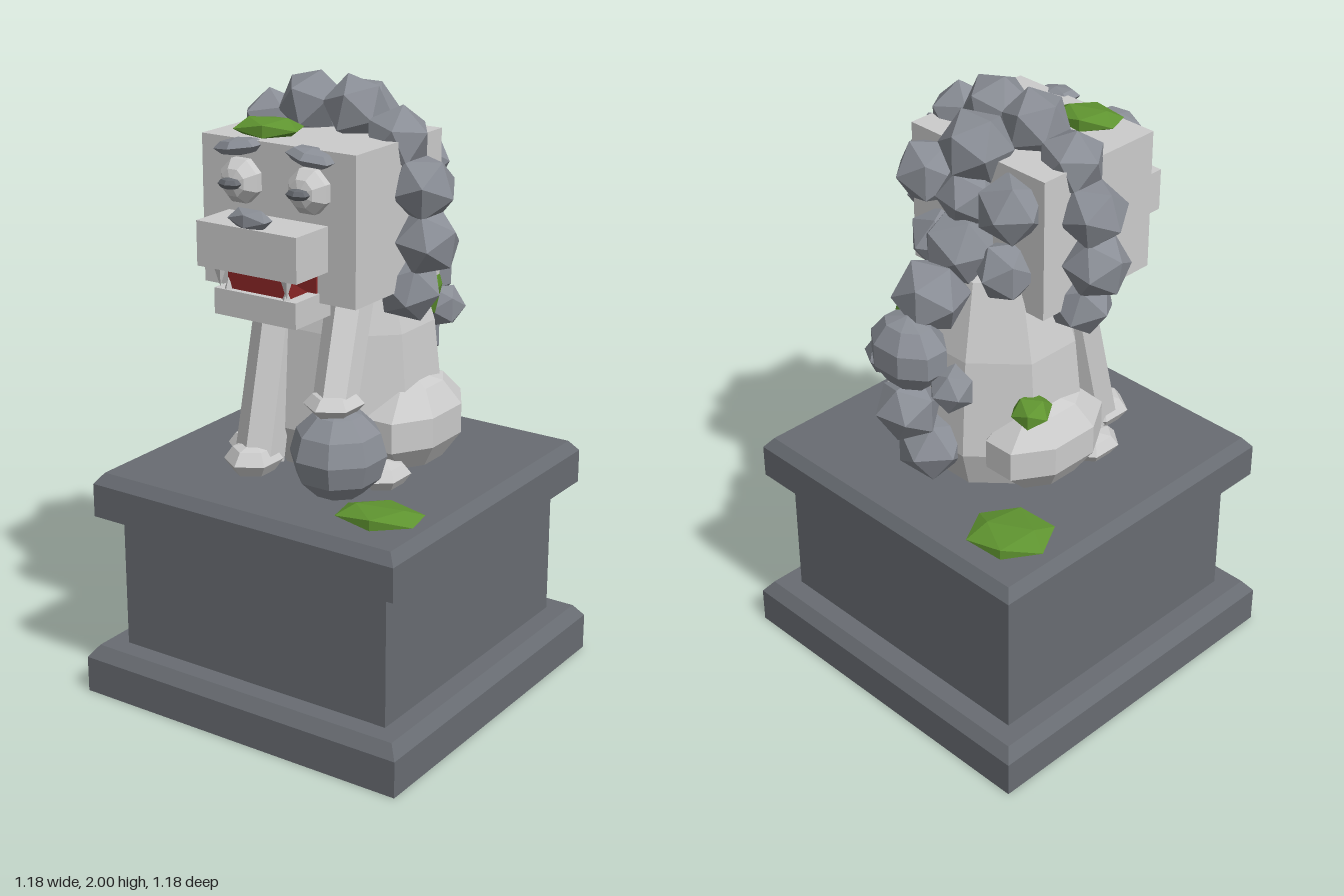
import * as THREE from 'three';

const mat = (color) => new THREE.MeshStandardMaterial({ color, flatShading: true });

export function createModel() {
  const model = new THREE.Group();
  const pale = mat(0xcccccc);
  const mid = mat(0x8a8e96);
  const dark = mat(0x686c72);
  const red = mat(0x8a2626);
  const green = mat(0x5f9430);

  const add = (name, geometry, material, x, y, z) => {
    const mesh = new THREE.Mesh(geometry, material);
    mesh.name = name;
    mesh.position.set(x, y, z);
    model.add(mesh);
    return mesh;
  };
  const box = (name, m, w, h, d, x, y, z) => add(name, new THREE.BoxGeometry(w, h, d), m, x, y, z);
  // faceted ellipsoid
  const lump = (name, m, x, y, z, rx, ry = rx, rz = rx, turn = 0) => {
    const mesh = add(name, new THREE.IcosahedronGeometry(1, 0), m, x, y, z);
    mesh.scale.set(rx, ry, rz);
    mesh.rotation.y = turn;
    return mesh;
  };
  // rounder ellipsoid built from rings
  const orb = (name, m, x, y, z, rx, ry, rz, sides = 8, rings = 5) => {
    const g = new THREE.SphereGeometry(1, sides, rings);
    g.rotateY(Math.PI / sides);
    const mesh = add(name, g, m, x, y, z);
    mesh.scale.set(rx, ry, rz);
    return mesh;
  };
  // six-sided limb between two points
  const limb = (name, m, a, b, r0, r1) => {
    const p = new THREE.Vector3(...a), q = new THREE.Vector3(...b);
    const dir = q.clone().sub(p), c = p.add(q).multiplyScalar(0.5);
    const mesh = add(name, new THREE.CylinderGeometry(r1, r0, dir.length(), 6), m, c.x, c.y, c.z);
    mesh.quaternion.setFromUnitVectors(new THREE.Vector3(0, 1, 0), dir.normalize());
  };
  // square slab with a chamfered top, from [half width, height] pairs
  const slab = (name, profile) => {
    const pts = profile.map(([r, y]) => new THREE.Vector2(r * Math.SQRT2, y));
    const g = new THREE.LatheGeometry(pts, 4);
    g.rotateY(Math.PI / 4);
    add(name, g, dark, 0, 0, 0);
  };

  // Pedestal
  slab('pedestalBase', [[0, 0], [0.59, 0], [0.59, 0.12], [0.56, 0.16], [0, 0.16]]);
  box('pedestalBody', dark, 0.99, 0.46, 0.99, 0, 0.385, 0);
  slab('pedestalCap', [[0, 0.61], [0.56, 0.61], [0.56, 0.72], [0.533, 0.755], [0, 0.755]]);

  // Body
  const bodyProfile = [[0, 0.77], [0.26, 0.77], [0.31, 0.9], [0.275, 1.22], [0.2, 1.46], [0, 1.47]];
  const bodyGeo = new THREE.LatheGeometry(bodyProfile.map(([r, y]) => new THREE.Vector2(r, y)), 8);
  bodyGeo.rotateY(Math.PI / 8);
  add('body', bodyGeo, pale, 0, 0, -0.055).scale.set(0.98, 1, 0.9);

  // Haunches and hind paws
  for (const s of [-1, 1]) {
    orb('haunch', pale, s * 0.225, 0.915, -0.065, 0.145, 0.155, 0.23);
    orb('hindPaw', pale, s * 0.25, 0.795, 0.13, 0.075, 0.045, 0.1, 6, 4);
  }

  // Front legs: right one standing, left one resting on a ball
  limb('rightFrontLeg', pale, [-0.14, 0.8, 0.25], [-0.145, 1.34, 0.12], 0.078, 0.072);
  orb('rightFrontPaw', pale, -0.14, 0.81, 0.28, 0.09, 0.055, 0.1, 6, 4);
  limb('leftFrontLeg', pale, [0.175, 1.06, 0.29], [0.13, 1.36, 0.14], 0.068, 0.072);
  orb('leftFrontPaw', pale, 0.175, 1.06, 0.295, 0.09, 0.042, 0.1, 6, 4);
  orb('ball', mid, 0.19, 0.905, 0.295, 0.15, 0.145, 0.15, 8, 6);

  // Head and muzzle
  box('head', pale, 0.55, 0.455, 0.46, 0, 1.603, 0.1);
  box('muzzle', pale, 0.357, 0.137, 0.2, 0, 1.543, 0.388);
  box('jaw', pale, 0.295, 0.08, 0.175, 0, 1.364, 0.362);
  box('mouthBack', red, 0.28, 0.09, 0.01, 0, 1.44, 0.331);
  const tongue = new THREE.Shape([[0.33, 1.4], [0.43, 1.4], [0.43, 1.46]]
    .map(([z, y]) => new THREE.Vector2(-z, y)));
  const tongueGeo = new THREE.ExtrudeGeometry(tongue, { depth: 0.22, bevelEnabled: false });
  tongueGeo.translate(0, 0, -0.11);
  add('tongue', tongueGeo, red, 0, 0, 0).rotation.y = Math.PI / 2;
  lump('nose', mid, 0, 1.635, 0.465, 0.078, 0.036, 0.038);

  // Paired face parts
  for (const s of [-1, 1]) {
    const fang = add('fang', new THREE.ConeGeometry(0.02, 0.065, 5), pale, s * 0.12, 1.445, 0.455);
    fang.rotation.x = Math.PI;
    add('lowerFang', new THREE.ConeGeometry(0.014, 0.04, 5), pale, s * 0.105, 1.42, 0.435);
    const eye = orb('eye', pale, s * 0.122, 1.71, 0.335, 0.074, 0.063, 0.074, 8, 5);
    eye.rotation.x = Math.PI / 2;
    orb('pupil', dark, s * 0.122, 1.71, 0.4, 0.04, 0.018, 0.025, 6, 4);
    const brow = orb('brow', mid, s * 0.13, 1.81, 0.34, 0.085, 0.027, 0.06, 6, 4);
    brow.rotation.z = -s * 0.15;
  }

  // Mane ring around the head
  for (let i = 0; i < 5; i++) {
    const a = THREE.MathUtils.degToRad(14 + 28 * i);
    for (const s of [-1, 1]) {
      const curl = lump('maneCurl', mid, s * 0.335 * Math.sin(a), 1.57 + 0.335 * Math.cos(a), 0.035, 0.107);
      curl.rotation.z = -s * a;
    }
  }

  // Curls behind the head and down the tail: x, y, z, radius, mirrored when x > 0
  const curls = [
    ['backCurl', 0, 1.85, -0.13, 0.115], ['backCurl', 0.17, 1.72, -0.16, 0.108],
    ['backCurl', 0, 1.7, -0.16, 0.1], ['backCurl', 0.14, 1.5, -0.15, 0.1],
    ['backCurl', 0, 1.55, -0.2, 0.12], ['tailCurl', 0, 1.43, -0.32, 0.12],
    ['tailCurl', 0.14, 1.19, -0.375, 0.075], ['tailCurl', 0, 1.08, -0.425, 0.105],
    ['tailCurl', 0, 0.905, -0.335, 0.115],
  ];
  curls.forEach(([name, x, y, z, r], i) => {
    for (const s of x ? [-1, 1] : [1]) lump(name, mid, s * x, y, z, r, r, r, s * i * 0.7);
  });
  orb('tailTuft', mid, 0, 1.28, -0.415, 0.14, 0.12, 0.105, 8, 5);

  // Moss patches
  lump('moss', green, -0.375, 0.775, -0.365, 0.14, 0.032, 0.13, 0.5);
  lump('moss', green, 0.39, 0.775, 0.37, 0.145, 0.032, 0.1, 0.2);
  lump('moss', green, -0.1, 1.85, 0.235, 0.115, 0.036, 0.08, 0.35);
  lump('moss', green, -0.27, 1.075, -0.17, 0.065, 0.045, 0.085, 0.6);
  lump('moss', green, 0.13, 1.28, -0.29, 0.055, 0.11, 0.04, 0.3);

  return model;
}
